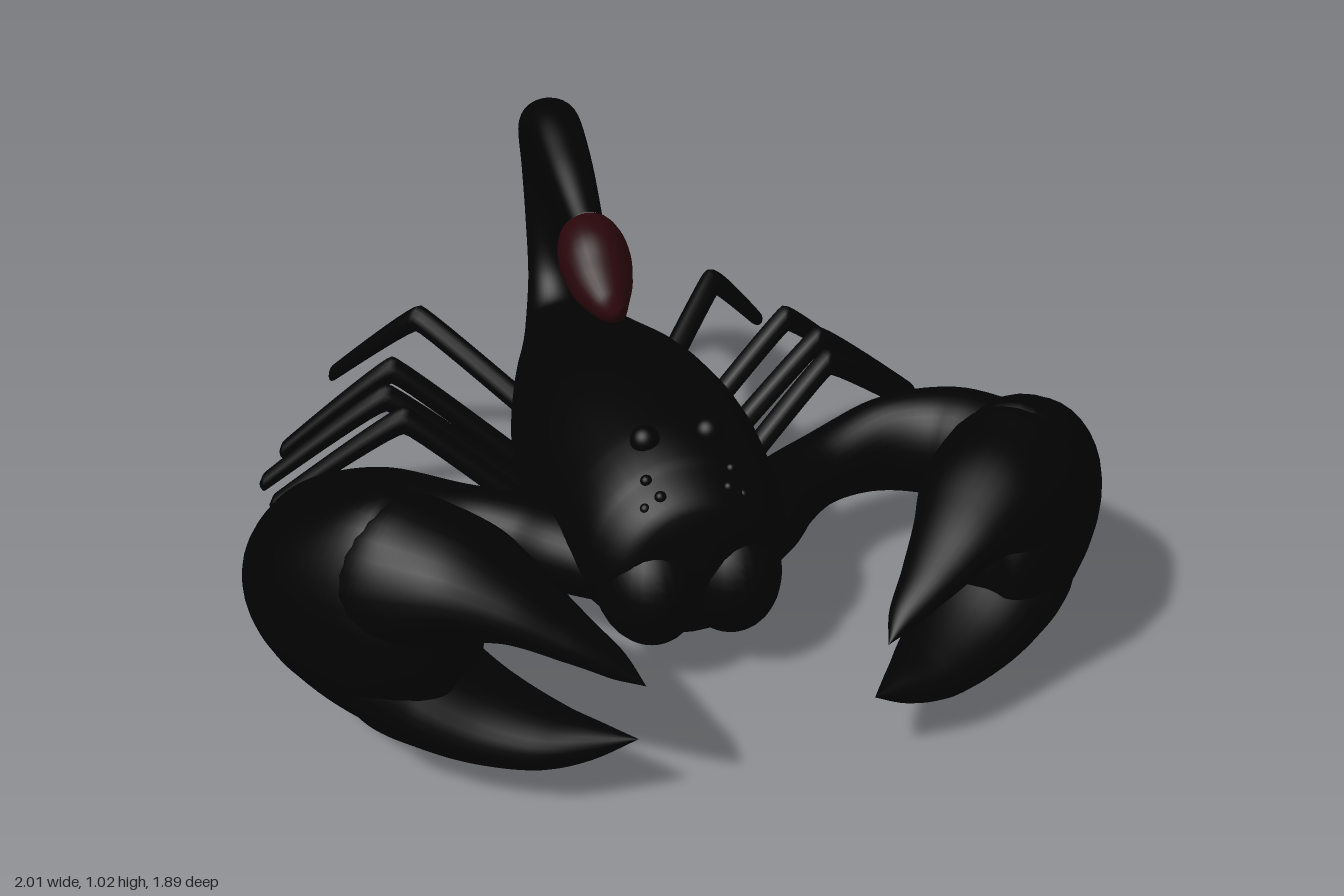
import * as THREE from 'three';

const black = new THREE.MeshStandardMaterial({ color: 0x020202 });
const red = new THREE.MeshStandardMaterial({ color: 0x28060a });
const X = new THREE.Vector3(1, 0, 0);
const Y = new THREE.Vector3(0, 1, 0);

// Skin over elliptical sections [x, y, z, radius along axis, radius across axis].
function loft(sections, axis, steps, sides, smooth = true) {
  const points = sections.map(s => new THREE.Vector3(s[0], s[1], s[2]));
  const radii = sections.map(s => new THREE.Vector3(s[3], s[4], 0));
  const type = smooth ? 'centripetal' : 'catmullrom';
  const path = new THREE.CatmullRomCurve3(points, false, type, 0.1);
  const size = new THREE.CatmullRomCurve3(radii, false, 'catmullrom', smooth ? 0.5 : 0.1);
  const pos = [], index = [];
  for (let i = 0; i <= steps; i++) {
    const p = path.getPoint(i / steps), r = size.getPoint(i / steps);
    const b = path.getTangent(i / steps).cross(axis).normalize();
    for (let j = 0; j < sides; j++) {
      const a = (j / sides) * Math.PI * 2;
      const v = p.clone()
        .addScaledVector(axis, Math.max(r.x, 0) * Math.cos(a))
        .addScaledVector(b, Math.max(r.y, 0) * Math.sin(a));
      pos.push(v.x, v.y, v.z);
      if (i < steps) {
        const k = (j + 1) % sides, o = i * sides, n = o + sides;
        index.push(o + j, o + k, n + j, o + k, n + k, n + j);
      }
    }
  }
  const g = new THREE.BufferGeometry();
  g.setAttribute('position', new THREE.Float32BufferAttribute(pos, 3));
  g.setIndex(index);
  g.computeVertexNormals();
  return g;
}

export function createModel() {
  const model = new THREE.Group();
  const add = (name, geometry, material = black) => {
    const mesh = new THREE.Mesh(geometry, material);
    mesh.name = name;
    model.add(mesh);
    return mesh;
  };
  const ball = (name, x, y, z, rx, ry = rx, rz = rx) => {
    const m = add(name, new THREE.SphereGeometry(1, 28, 20));
    m.position.set(x, y, z);
    m.scale.set(rx, ry, rz);
  };

  // Body flowing into the arched tail
  add('bodyAndTail', loft([
    [0, 0.32, 0.495, 0, 0], [0, 0.32, 0.465, 0.165, 0.15], [0, 0.312, 0.38, 0.235, 0.222],
    [0, 0.305, 0.26, 0.265, 0.267], [0, 0.295, 0, 0.29, 0.29], [0, 0.295, -0.25, 0.268, 0.265],
    [0, 0.29, -0.48, 0.208, 0.21], [0, 0.285, -0.66, 0.15, 0.16], [0, 0.33, -0.79, 0.1, 0.105],
    [0, 0.44, -0.865, 0.07, 0.065], [-0.01, 0.6, -0.89, 0.058, 0.05],
    [-0.02, 0.75, -0.875, 0.058, 0.05], [-0.04, 0.9, -0.795, 0.063, 0.05],
    [-0.052, 0.978, -0.63, 0.065, 0.05], [-0.058, 0.93, -0.46, 0.06, 0.05],
    [-0.06, 0.84, -0.29, 0.045, 0.045],
  ], X, 120, 40));

  // Stinger bulb and hooked point
  add('stinger', loft([
    [-0.06, 0.83, -0.32, 0, 0], [-0.06, 0.82, -0.285, 0.065, 0.065], [-0.06, 0.785, -0.21, 0.086, 0.092],
    [-0.06, 0.745, -0.13, 0.074, 0.07], [-0.06, 0.725, -0.05, 0.04, 0.036],
    [-0.06, 0.742, 0.015, 0.016, 0.013], [-0.06, 0.785, 0.06, 0, 0],
  ], X, 48, 28), red);

  for (const s of [1, -1]) {
    const side = s > 0 ? 'left' : 'right';
    const mirror = list => list.map(([x, ...rest]) => [x * s, ...rest]);

    // Jaw lobe and eyes
    ball(side + 'Jaw', s * 0.095, 0.24, 0.37, 0.125, 0.155, 0.16);
    ball(side + 'Eye', s * 0.075, 0.55, 0.28, 0.035);
    [[0.1, 0.5, 0.375], [0.08, 0.48, 0.42], [0.115, 0.455, 0.42]]
      .forEach(([x, y, z]) => ball(side + 'SmallEye', s * x, y, z, 0.014));

    // Curved arm swelling into the palm
    add(side + 'Arm', loft(mirror([
      [0.13, 0.24, 0.34, 0.08, 0.08], [0.235, 0.235, 0.2, 0.1, 0.105], [0.32, 0.235, 0.105, 0.095, 0.1],
      [0.45, 0.25, 0.03, 0.092, 0.088], [0.62, 0.28, 0.005, 0.125, 0.09], [0.78, 0.29, 0.06, 0.145, 0.12],
      [0.875, 0.31, 0.22, 0.155, 0.12], [0.83, 0.37, 0.41, 0.225, 0.165], [0.712, 0.388, 0.565, 0.285, 0.178],
      [0.64, 0.36, 0.625, 0.2, 0.15], [0.578, 0.325, 0.66, 0.08, 0.09], [0.56, 0.32, 0.675, 0, 0],
    ]), Y, 84, 36));

    // Pincer fingers
    add(side + 'UpperFinger', loft(mirror([
      [0.78, 0.44, 0.485, 0.15, 0.13], [0.712, 0.475, 0.565, 0.19, 0.168], [0.64, 0.497, 0.635, 0.16, 0.165],
      [0.565, 0.513, 0.703, 0.118, 0.145], [0.485, 0.497, 0.773, 0.077, 0.107], [0.393, 0.445, 0.842, 0.05, 0.068],
      [0.315, 0.395, 0.895, 0.03, 0.035], [0.265, 0.36, 0.94, 0, 0],
    ]), Y, 48, 28));
    add(side + 'LowerFinger', loft(mirror([
      [0.78, 0.29, 0.485, 0.11, 0.12], [0.712, 0.27, 0.565, 0.16, 0.16], [0.63, 0.215, 0.635, 0.12, 0.15],
      [0.537, 0.173, 0.705, 0.088, 0.126], [0.43, 0.155, 0.782, 0.062, 0.09],
      [0.345, 0.164, 0.835, 0.038, 0.046], [0.265, 0.187, 0.885, 0, 0],
    ]), Y, 48, 28));

    // Four bent legs: root, knee, foot
    [
      [[0.2, 0.13, -0.07], [0.545, 0.425, -0.19], [0.86, 0.185, -0.295]],
      [[0.2, 0.13, -0.21], [0.565, 0.425, -0.315], [0.87, 0.185, -0.405]],
      [[0.18, 0.13, -0.34], [0.525, 0.425, -0.455], [0.8, 0.185, -0.555]],
      [[0.12, 0.21, -0.42], [0.405, 0.43, -0.715], [0.61, 0.19, -0.93]],
    ].forEach(([root, knee, foot], i) => {
      add(side + 'Leg' + (i + 1), loft(mirror([
        [...root, 0.036, 0.03], [...knee, 0.036, 0.03], [...foot, 0.024, 0.022],
        [foot[0] + 0.008, foot[1] - 0.006, foot[2] - 0.004, 0, 0],
      ]), Y, 30, 12, false));
    });
  }
  return model;
}
